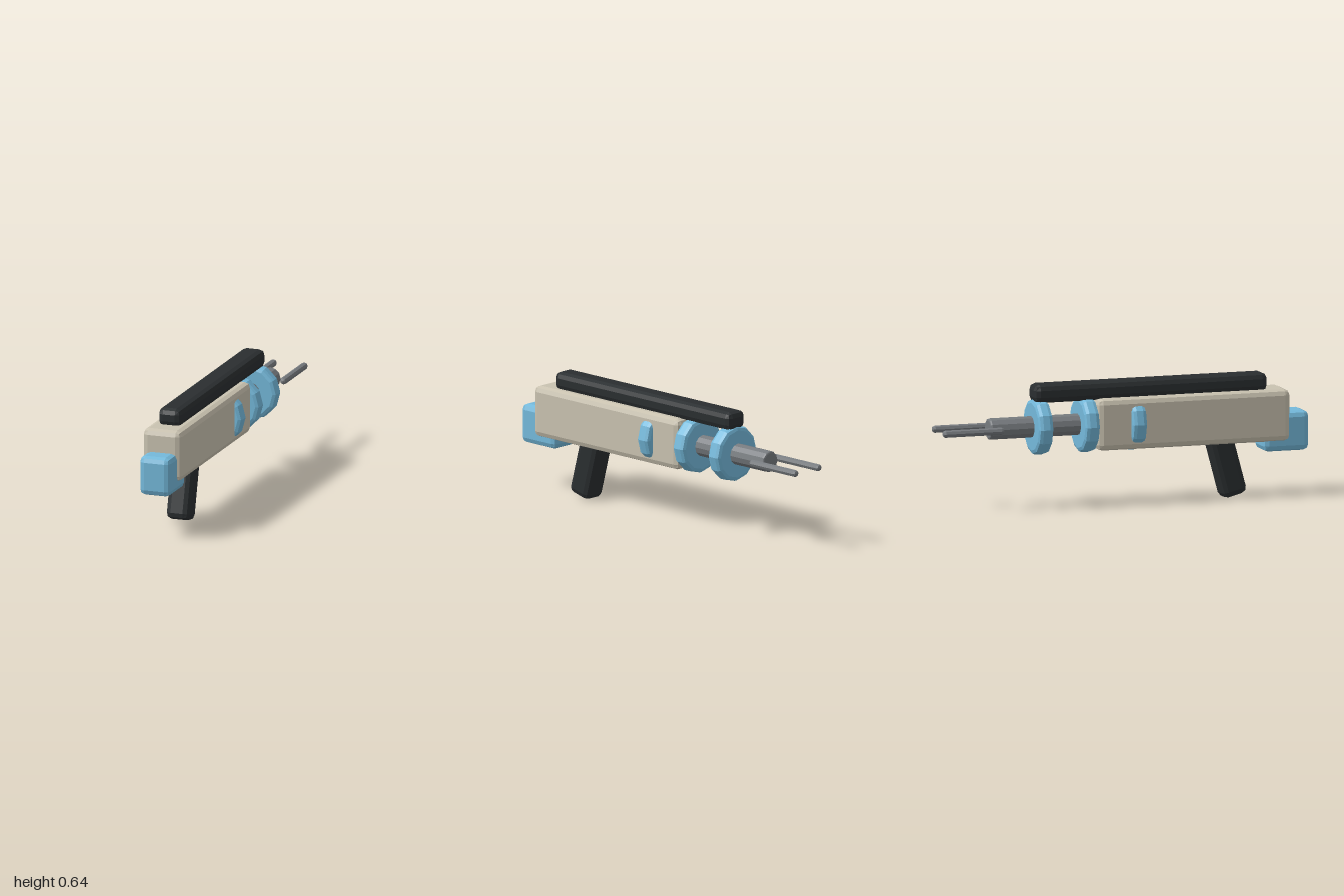
import * as THREE from 'three';
import { RoundedBoxGeometry } from 'three/addons/geometries/RoundedBoxGeometry.js';

const paint = (color) => new THREE.MeshStandardMaterial({ color, flatShading: true });

export function createModel() {
  const model = new THREE.Group();
  const cream = paint(0xc9c2b0);
  const blue = paint(0x74b9db);
  const black = paint(0x2a2e30);
  const steel = paint(0x777b7f);

  function add(name, geometry, material, x, y, z) {
    const mesh = new THREE.Mesh(geometry, material);
    mesh.name = name;
    mesh.position.set(x, y, z);
    model.add(mesh);
    return mesh;
  }

  // Box with two-facet rounded edges
  const block = (w, h, d, r = 0.03) => new RoundedBoxGeometry(w, h, d, 1, r);

  // Faceted cylinder along z with two-facet rounded rims
  function rod(radius, length, bevel, sides = 12) {
    const h = length / 2;
    const k = bevel * (1 - Math.SQRT1_2);
    const rim = [[radius - bevel, h], [radius - k, h - k], [radius, h - bevel]];
    const profile = [
      [0, -h], ...rim.map(([r, y]) => [r, -y]), ...rim.reverse(), [0, h],
    ].map(([r, y]) => new THREE.Vector2(r, y));
    return new THREE.LatheGeometry(profile, sides).rotateX(Math.PI / 2);
  }

  // Receiver, top rail and stock
  add('body', block(0.212, 0.27, 1.05), cream, 0, 0.425, 0.365);
  add('topRail', block(0.126, 0.096, 1.268), black, 0, 0.597, 0.147);
  add('stock', block(0.17, 0.207, 0.25), blue, 0, 0.338, 0.875);

  // Slanted grip
  const grip = add('grip', block(0.126, 0.35, 0.135), black, 0, 0.181, 0.565);
  grip.rotation.x = -Math.PI / 12;

  // Barrel with its rings
  const axisY = 0.422;
  add('barrel', rod(0.056, 0.82, 0.01), steel, 0, axisY, -0.315);
  [0.06, -0.197, -0.45].forEach((z, i) => {
    add('ring' + (i + 1), rod(0.147, 0.079, 0.022), blue, 0, axisY, z);
  });

  // Pair of muzzle prongs
  for (const side of [-1, 1]) {
    add(side > 0 ? 'leftProng' : 'rightProng', rod(0.019, 0.335, 0.015, 8), steel, side * 0.085, axisY, -0.8325);
  }

  return model;
}
